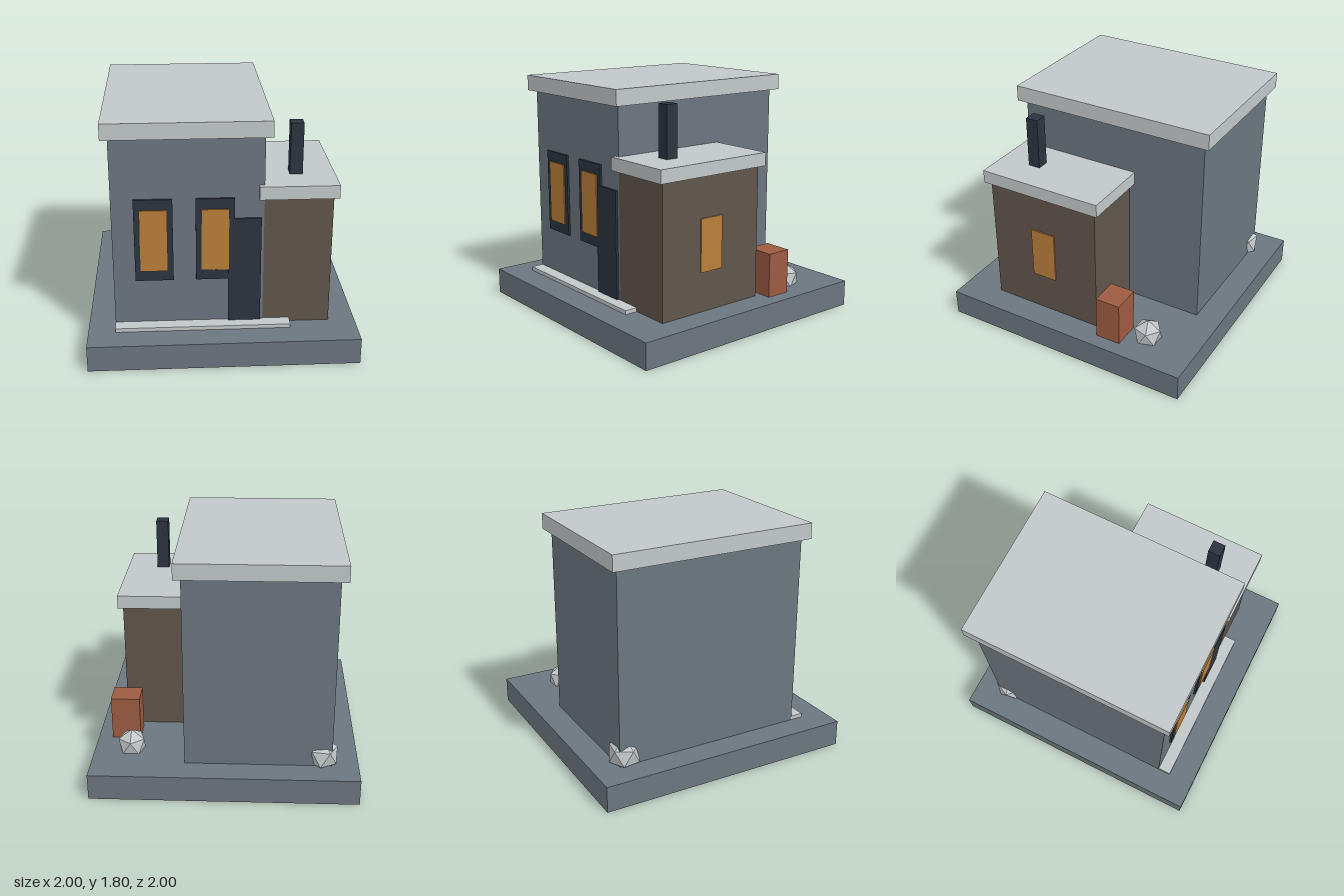
import * as THREE from 'three';

export function createModel() {
  const group = new THREE.Group();
  const mat = (name, color) => {
    const m = new THREE.MeshStandardMaterial({ color });
    m.name = name;
    return m;
  };
  const slate = mat('slate', 0x6b767f);
  const pale = mat('paleGrey', 0xc2c8ca);
  const brown = mat('brown', 0x60554b);
  const dark = mat('darkNavy', 0x2b3440);
  const amber = mat('amber', 0xba7e3a);
  const rust = mat('rust', 0x9d5b42);
  const stone = mat('stone', 0xc2c8ca);
  stone.flatShading = true;

  // Box given by its extents on each axis
  const box = (name, material, [x0, x1], [y0, y1], [z0, z1]) => {
    const mesh = new THREE.Mesh(new THREE.BoxGeometry(x1 - x0, y1 - y0, z1 - z0), material);
    mesh.position.set((x0 + x1) / 2, (y0 + y1) / 2, (z0 + z1) / 2);
    mesh.name = name;
    group.add(mesh);
  };

  // Ground slab and front step
  box('base', slate, [-1, 1], [0, 0.2], [-1, 1]);
  box('frontStep', pale, [-0.8, 0.5], [0.2, 0.23], [0.7, 0.8]);

  // Main block
  box('mainWalls', slate, [-0.8, 0.3], [0.2, 1.68], [-0.8, 0.7]);
  box('mainRoof', pale, [-0.85, 0.35], [1.68, 1.8], [-0.85, 0.75]);

  // Side annex with chimney
  box('annexWalls', brown, [0.3, 0.8], [0.2, 1.21], [-0.2, 0.7]);
  box('annexRoof', pale, [0.26, 0.835], [1.21, 1.31], [-0.24, 0.74]);
  box('chimney', dark, [0.502, 0.597], [1.31, 1.7], [0.402, 0.497]);

  // Door and framed front windows
  box('door', dark, [0.04, 0.28], [0.2, 1.06], [0.7, 0.718]);
  for (const x of [-0.5, -0.055]) {
    box('windowFrame', dark, [x - 0.14, x + 0.14], [0.58, 1.22], [0.7, 0.716]);
    box('windowPane', amber, [x - 0.1, x + 0.1], [0.66, 1.14], [0.716, 0.725]);
  }
  box('sideWindow', amber, [0.8, 0.809], [0.5, 0.9], [0.155, 0.355]);

  // Crate behind the annex
  box('crate', rust, [0.67, 0.89], [0.2, 0.54], [-0.45, -0.255]);

  // Faceted rocks, each turned to stand with one corner up
  const rock = (x, y, z, r, turn) => {
    const geo = new THREE.IcosahedronGeometry(r, 0);
    geo.rotateZ(-Math.atan(2 / (1 + Math.sqrt(5)))).rotateY(turn);
    const mesh = new THREE.Mesh(geo, stone);
    mesh.position.set(x, y, z);
    mesh.name = 'rock';
    group.add(mesh);
  };
  rock(0.717, 0.245, -0.6, 0.115, Math.PI / 2);
  rock(-0.73, 0.265, -0.73, 0.128, Math.PI / 4);

  return group;
}
